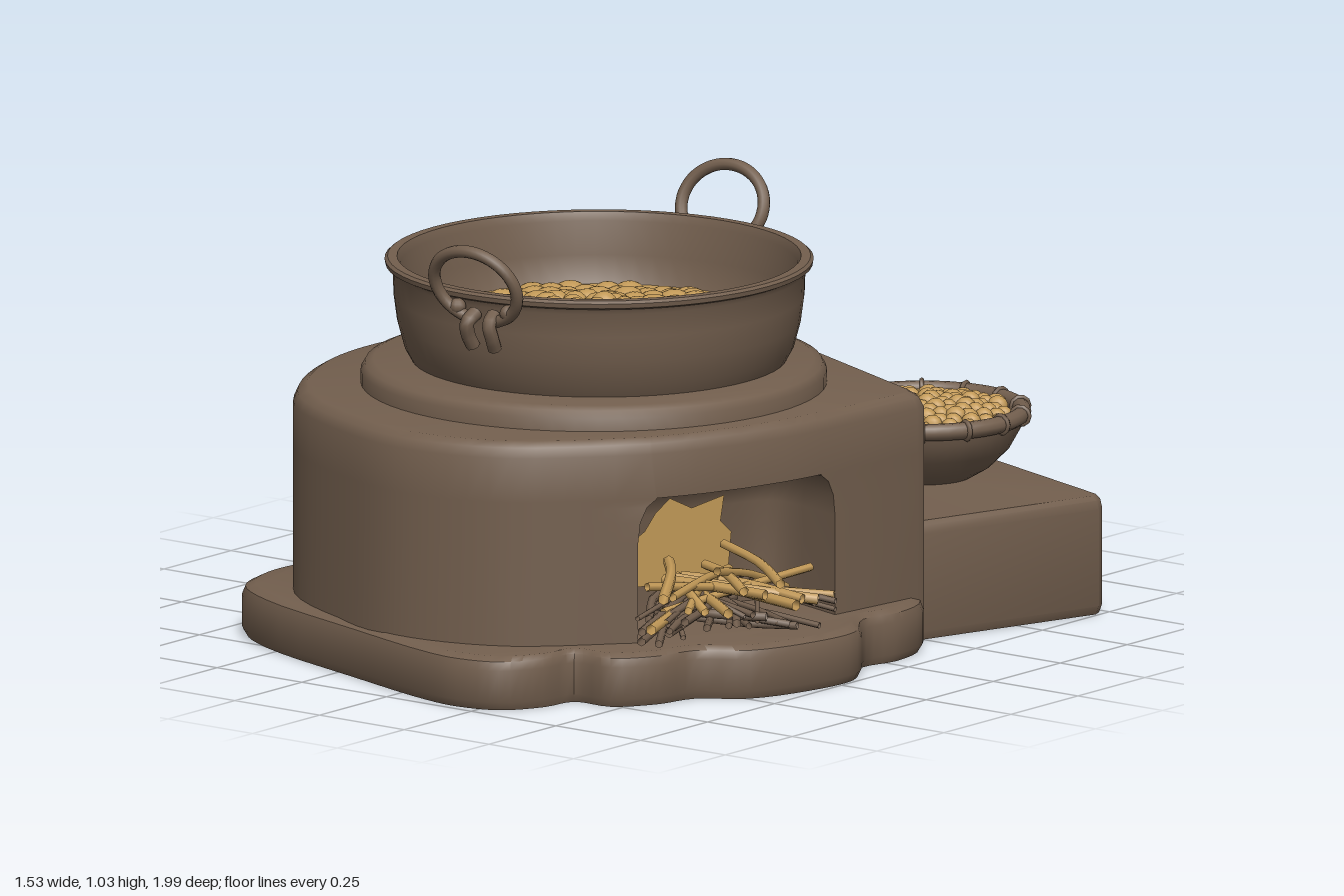
import * as THREE from 'three';
import { mergeGeometries, toCreasedNormals } from 'three/addons/utils/BufferGeometryUtils.js';

const clay = new THREE.MeshStandardMaterial({ color: 0x735f4e, side: THREE.DoubleSide });
clay.name = 'brown clay';
const straw = new THREE.MeshStandardMaterial({ color: 0xc39a58, side: THREE.DoubleSide });
straw.name = 'golden tan';

let seed = 7;
const rand = (a, b) => {
  seed = (seed * 16807) % 2147483647;
  return a + (b - a) * seed / 2147483647;
};
const V2 = (x, z) => new THREE.Vector2(x, z);
const V3 = (x, y, z) => new THREE.Vector3(x, y, z);

function add(parent, name, geometry, material, x = 0, y = 0, z = 0) {
  const mesh = new THREE.Mesh(geometry, material);
  mesh.name = name;
  mesh.position.set(x, y, z);
  parent.add(mesh);
  return mesh;
}

// Stacks outlines (x, z) at given heights, and closes top and bottom.
function loft(rows) {
  const flip = p => V2(p.x, -p.y);
  if (THREE.ShapeUtils.area(rows[0].pts.map(flip)) < 0) rows.forEach(r => r.pts.reverse());
  const pos = [];
  const put = (r, i) => pos.push(r.pts[i].x, r.y, r.pts[i].y);
  const n = rows[0].pts.length;
  for (let k = 0; k + 1 < rows.length; k++) {
    const a = rows[k], b = rows[k + 1];
    for (let i = 0; i < n; i++) {
      const j = (i + 1) % n;
      put(a, i); put(a, j); put(b, j);
      put(a, i); put(b, j); put(b, i);
    }
  }
  const first = rows[0], last = rows[rows.length - 1];
  for (const [a, b, c] of THREE.ShapeUtils.triangulateShape(first.pts.map(flip), [])) {
    put(first, c); put(first, b); put(first, a);
  }
  for (const [a, b, c] of THREE.ShapeUtils.triangulateShape(last.pts.map(flip), [])) {
    put(last, a); put(last, b); put(last, c);
  }
  const g = new THREE.BufferGeometry();
  g.setAttribute('position', new THREE.Float32BufferAttribute(pos, 3));
  return toCreasedNormals(g, 0.7);
}

const scaled = (pts, s, c) => pts.map(p => p.clone().sub(c).multiplyScalar(s).add(c));

// Slab with softened top and bottom edges.
function slab(pts, height, c) {
  return loft([[0, 0.985], [0.02, 1], [height - 0.03, 1], [height - 0.01, 0.99], [height, 0.965]]
    .map(([y, s]) => ({ y, pts: scaled(pts, s, c) })));
}

// Stove body whose outline dips inwards to form the arched fire opening.
function stoveBody() {
  const round = new THREE.SplineCurve([[0.44, 0.64], [0.24, 0.84], [0, 0.91], [-0.23, 0.86], [-0.5, 0.71],
    [-0.66, 0.45], [-0.7, 0.19], [-0.64, -0.08], [-0.5, -0.32], [-0.29, -0.46], [-0.03, -0.48], [0.19, -0.4]]
    .map(p => V2(...p))).getPoints(55).slice(1);
  const A = V2(0.62, 0.11), D = V2(0.45, 0.63), c = V2(-0.03, 0.2);
  const outline = (width, depth) => {
    const pts = [...round, V2(0.62, -0.21), V2(0.645, -0.19), V2(0.65, -0.16)];
    for (let i = 0; i <= 16; i++) {
      const t = Math.PI * i / 16, co = Math.cos(t);
      const u = -Math.sign(co) * Math.abs(co) ** 0.45 * width;
      const d = 0.035 * (1 - u * u) - depth * Math.max(0, Math.sin(t)) ** 0.45;
      const p = A.clone().lerp(D, (u + 1) / 2);
      pts.push(V2(p.x + 0.95 * d, p.y + 0.31 * d));
    }
    return pts;
  };
  return loft([[0.09, 1, 0.27, 1], [0.36, 1, 0.27, 1], [0.41, 0.98, 0.25, 1], [0.445, 0.92, 0.21, 1],
    [0.462, 0.84, 0.16, 1], [0.465, 0.84, 0, 1], [0.57, 0.9, 0, 1], [0.593, 0.9, 0, 0.985], [0.605, 0.9, 0, 0.955]]
    .map(([y, w, d, s]) => ({ y, pts: scaled(outline(w, d), s, c) })));
}

const lathe = (points, segments = 64) =>
  toCreasedNormals(new THREE.LatheGeometry(points.map(p => V2(...p)), segments), 0.7);

// Round grains spread in a sunflower pattern over a low dome.
function grains(count, spread, size, flat, dome) {
  const list = [];
  for (let i = 0; i < count; i++) {
    const r = spread * Math.sqrt((i + 0.5) / count), a = i * 2.39996;
    const s = size * rand(0.85, 1.15);
    const g = new THREE.SphereGeometry(s, 10, 7);
    g.scale(1, flat, 1);
    g.translate(r * Math.cos(a) + rand(-0.004, 0.004), dome * (1 - (r / spread) ** 2) + rand(-0.004, 0.004),
      r * Math.sin(a));
    list.push(g);
  }
  return mergeGeometries(list);
}

function disc(r) {
  return new THREE.CircleGeometry(r, 48).rotateX(-Math.PI / 2);
}

// Loop handle with two hanging lugs, leaning outwards along +z.
function potHandle() {
  const h = new THREE.Group();
  h.name = 'potHandle';
  const path = [];
  for (let i = 0; i <= 16; i++) {
    const a = -1.25 + (Math.PI + 2.5) * i / 16;
    const y = 0.09 * Math.sin(a);
    path.push(V3(0.112 * Math.cos(a), y, 0.03 + 0.4 * y));
  }
  add(h, 'handleLoop', new THREE.TubeGeometry(new THREE.CatmullRomCurve3(path), 48, 0.0145, 10), clay);
  for (const s of [-1, 1]) {
    const lug = new THREE.CatmullRomCurve3([V3(s * 0.025, -0.07, -0.01), V3(s * 0.03, -0.09, 0.02),
      V3(s * 0.033, -0.12, 0.012), V3(s * 0.03, -0.15, -0.005)]);
    add(h, 'handleLug', new THREE.TubeGeometry(lug, 10, 0.017, 8), clay);
    add(h, 'handleRivet', new THREE.SphereGeometry(0.02, 10, 8), clay, s * 0.07, -0.06, 0);
  }
  return h;
}

// Slightly bent branch.
function stick(from, to, r) {
  const mid = from.clone().lerp(to, 0.5).add(V3(rand(-0.02, 0.02), rand(-0.005, 0.015), rand(-0.02, 0.02)));
  return new THREE.TubeGeometry(new THREE.CatmullRomCurve3([from, mid, to]), 6, r, 6);
}

export function createModel() {
  const model = new THREE.Group();
  model.name = 'clayStove';

  // Foot of rounded stones
  const foot = [[-0.26, -0.47], [-0.42, -0.45], [-0.47, -0.4], [-0.49, -0.33], [-0.6, -0.29], [-0.68, -0.17],
    [-0.7, -0.07], [-0.75, 0.07], [-0.77, 0.24], [-0.72, 0.41], [-0.72, 0.57], [-0.68, 0.68], [-0.55, 0.77],
    [-0.2, 0.89], [0.1, 0.98], [0.2, 0.99], [0.3, 0.96], [0.36, 0.87], [0.38, 0.78], [0.48, 0.77], [0.55, 0.68],
    [0.58, 0.58], [0.68, 0.5], [0.74, 0.34], [0.75, 0.19], [0.68, 0.07], [0.7, -0.04], [0.66, -0.17],
    [0.4, -0.28], [0.1, -0.4]].map(p => V3(p[0], 0, p[1]));
  const footPts = new THREE.CatmullRomCurve3(foot, true, 'centripetal').getPoints(120).slice(0, -1)
    .map(p => V2(p.x, p.z));
  add(model, 'stoneFoot', slab(footPts, 0.125, V2(0, 0.25)), clay);

  add(model, 'stoveBody', stoveBody(), clay);

  // Low block beside the stove
  const block = [[-0.055, -0.99], [-0.03, -1], [0.74, -0.735], [0.75, -0.71], [0.57, -0.15], [-0.23, -0.42]];
  add(model, 'sideBlock', slab(block.map(p => V2(...p)), 0.28, V2(0.26, -0.6)), clay);

  // Raised ring under the pot
  add(model, 'potRing', lathe([[0.54, 0.58], [0.54, 0.635], [0.53, 0.652], [0.51, 0.66], [0.3, 0.66]]),
    clay, -0.025, 0, 0.195);

  // Cooking pot
  const pot = new THREE.Group();
  pot.name = 'pot';
  pot.position.set(-0.025, 0, 0.175);
  model.add(pot);
  add(pot, 'potShell', lathe([[0, 0.65], [0.43, 0.65], [0.452, 0.69], [0.468, 0.75], [0.476, 0.81], [0.478, 0.865],
    [0.484, 0.878], [0.495, 0.883], [0.497, 0.894], [0.49, 0.9], [0.468, 0.9], [0.46, 0.88], [0.456, 0.8],
    [0.435, 0.72], [0.4, 0.67], [0, 0.67]]), clay);
  add(pot, 'potFill', disc(0.44), straw, 0, 0.735, 0);
  add(pot, 'fillBumps', grains(250, 0.41, 0.032, 0.5, 0.01), straw, 0, 0.733, 0);
  add(pot, 'grainHeap', grains(38, 0.175, 0.034, 1, 0.03), straw, 0.02, 0.755, 0.06);
  for (const s of [1, -1]) {
    const pivot = new THREE.Group();
    pivot.name = s > 0 ? 'frontHandle' : 'backHandle';
    pivot.rotation.y = 0.09 + (s > 0 ? 0 : Math.PI);
    const handle = potHandle();
    handle.position.set(0, 0.922, 0.492);
    pivot.add(handle);
    pot.add(pivot);
  }

  // Serving bowl on the block
  const bowl = new THREE.Group();
  bowl.name = 'bowl';
  bowl.position.set(0.28, 0, -0.645);
  model.add(bowl);
  add(bowl, 'bowlShell', lathe([[0, 0.275], [0.11, 0.275], [0.16, 0.305], [0.205, 0.35], [0.23, 0.395],
    [0.236, 0.42], [0.215, 0.42], [0.19, 0.36], [0, 0.33]], 40), clay);
  add(bowl, 'bowlRim', new THREE.TorusGeometry(0.233, 0.02, 10, 48).rotateX(Math.PI / 2), clay, 0, 0.43, 0);
  for (let i = 0; i < 14; i++) {
    const a = i / 14 * Math.PI * 2;
    const knot = add(bowl, 'rimBinding', new THREE.TorusGeometry(0.021, 0.006, 6, 10), clay,
      0.233 * Math.cos(a), 0.43, 0.233 * Math.sin(a));
    knot.rotation.y = -a;
  }
  add(bowl, 'bowlFill', disc(0.215), straw, 0, 0.415, 0);
  add(bowl, 'bowlGrains', grains(105, 0.2, 0.023, 1, 0.025), straw, 0, 0.422, 0);

  // Glow at the back of the fire opening
  const glow = new THREE.Shape([[-0.14, 0.2], [0.13, 0.2], [0.14, 0.3], [0.11, 0.33], [0.12, 0.39], [0.03, 0.37],
    [-0.03, 0.4], [-0.07, 0.37], [-0.1, 0.33], [-0.15, 0.3]].map(p => V2(...p)));
  add(model, 'fireGlow', new THREE.ShapeGeometry(glow), straw, 0.327, 0, 0.315).rotation.y = Math.PI / 2 - 0.32;

  // Firewood fanning out of the opening
  const dark = [], light = [];
  for (let i = 0; i < 34; i++) {
    const t = rand(0, 1), y = rand(0.135, 0.2);
    const tip = V3(0.73 - 0.2 * t + rand(-0.05, 0.02), y, 0.24 + 0.46 * t + rand(-0.04, 0.03));
    dark.push(stick(V3(rand(0.36, 0.48), y + rand(0, 0.04), rand(0.22, 0.5)), tip, rand(0.006, 0.011)));
  }
  for (let i = 0; i < 13; i++) {
    const t = i / 12, y = rand(0.18, 0.26);
    const tip = V3(0.75 - 0.2 * t + rand(-0.03, 0.01), y, 0.24 + 0.48 * t);
    light.push(stick(V3(rand(0.36, 0.48), y + rand(-0.02, 0.05), rand(0.2, 0.5)), tip, rand(0.008, 0.014)));
  }
  for (const [z0, z1, y0, y1] of [[0.66, 0.2, 0.27, 0.19], [0.14, 0.5, 0.18, 0.29], [0.6, 0.15, 0.2, 0.24]]) {
    light.push(stick(V3(0.5, y0, z0), V3(0.58, y1, z1), 0.01));
  }
  add(model, 'darkFirewood', mergeGeometries(dark), clay);
  add(model, 'lightFirewood', mergeGeometries(light), straw);

  return model;
}
